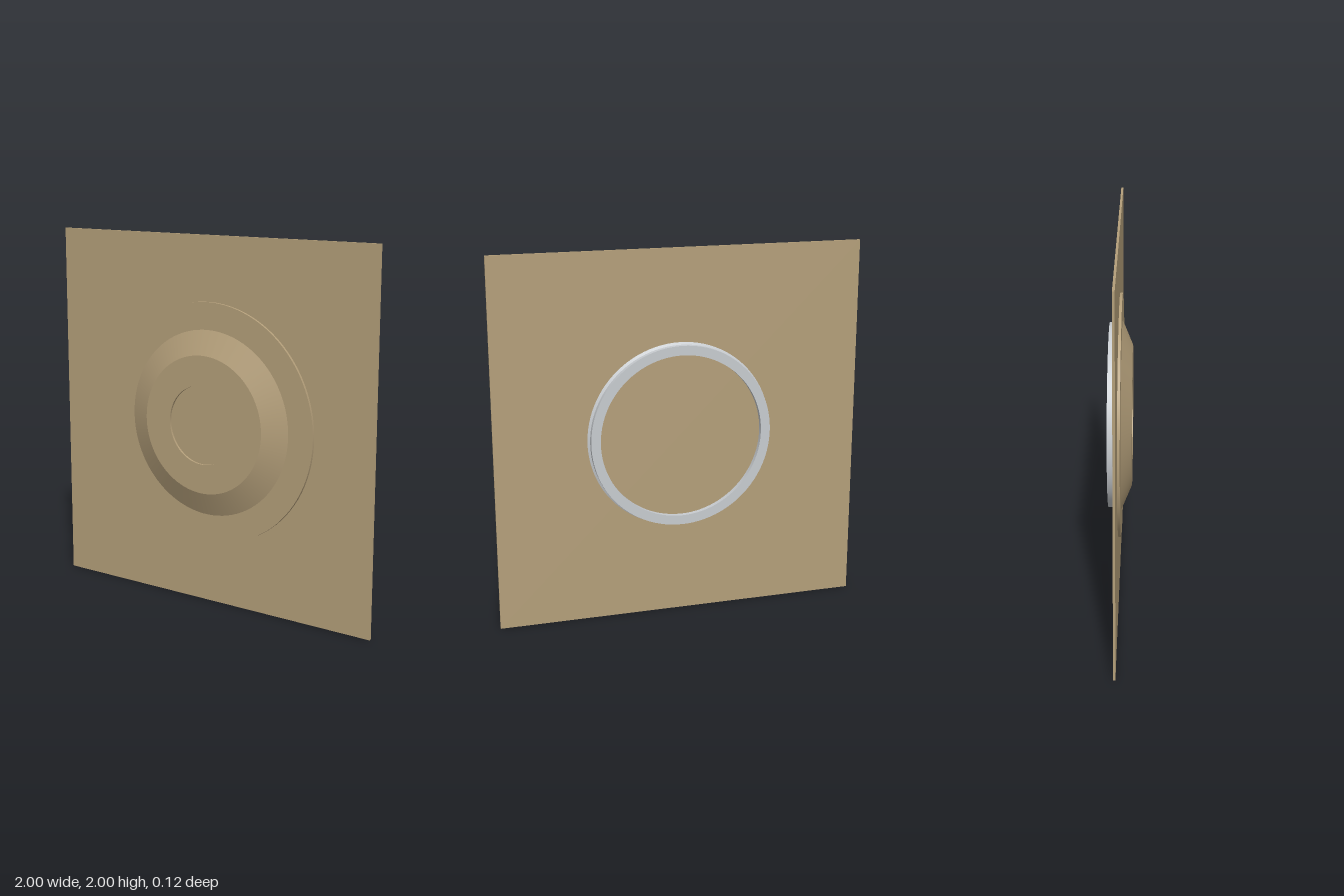
import * as THREE from 'three';
import { mergeGeometries } from 'three/addons/utils/BufferGeometryUtils.js';

// Turned part about the z axis: one lathe band per profile segment keeps the
// edges sharp while each band stays smooth. Profile points are [radius, z].
function turned(profile) {
  const bands = [];
  for (let i = 0; i < profile.length - 1; i++) {
    const pts = [profile[i], profile[i + 1]].map(([r, z]) => new THREE.Vector2(r, z));
    bands.push(new THREE.LatheGeometry(pts, 96));
  }
  return mergeGeometries(bands).rotateX(Math.PI / 2);
}

export function createModel() {
  const tan = new THREE.MeshStandardMaterial({ color: 0xb49f7a });
  tan.name = 'tan';
  const steel = new THREE.MeshStandardMaterial({ color: 0xc8ccd0 });
  steel.name = 'lightSteel';

  const model = new THREE.Group();
  const add = (name, geometry, material) => {
    const mesh = new THREE.Mesh(geometry, material);
    mesh.name = name;
    model.add(mesh);
  };

  // Thin square wall panel
  add('panel', new THREE.BoxGeometry(2, 2, 0.012).translate(0, 0, -0.013), tan);

  // Round flange, sloped boss and shallow centre recess
  add('flangeAndBoss', turned([
    [0.652, -0.007], [0.652, 0.007], [0.505, 0.007], [0.375, 0.062],
    [0.215, 0.062], [0.215, 0.05], [0, 0.05],
  ]), tan);

  // Rear collar: flared foot, narrow neck and wider lip, open in the middle
  add('rearCollar', turned([
    [0.45, -0.019], [0.45, -0.028], [0.443, -0.034], [0.443, -0.062],
    [0.494, -0.062], [0.494, -0.034], [0.486, -0.03], [0.505, -0.019],
  ]), steel);

  model.position.y = 1;
  const root = new THREE.Group();
  root.name = 'panelWithCollar';
  root.add(model);
  return root;
}
